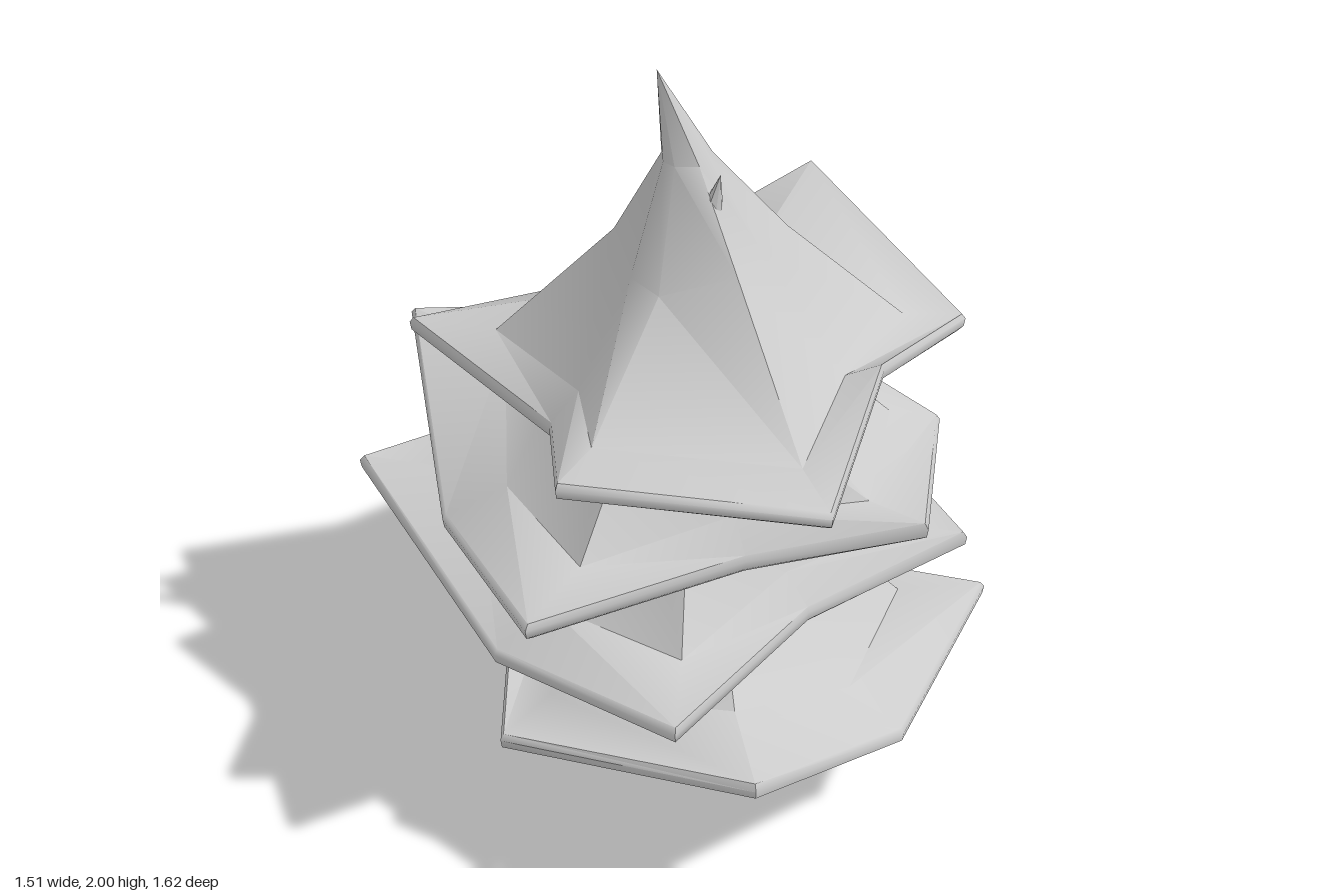
import * as THREE from 'three';
import { toCreasedNormals } from 'three/addons/utils/BufferGeometryUtils.js';

const material = new THREE.MeshStandardMaterial({ color: 0xcccccc });

// Eight uneven rim corners of a foliage tier: x, height, z
const RIM = [
  [0.755, 1.29, -0.463], [0.69, 1.15, 0.25], [0.24, 1.255, 0.44], [-0.12, 1.105, 0.685],
  [-0.64, 1.20, 0.315], [-0.41, 1.08, -0.06], [-0.445, 1.11, -0.665], [0.15, 1.04, -0.635],
];
// Relative reach and height of the two upper rings along each corner direction
const KINK = [0.65, 0.76, 0.8, 0.79, 0.76, 0.8, 0.69, 0.74];
const KINK_Y = [1.28, 1.2, 1.22, 1.165, 1.22, 1.17, 1.14, 1.12];
const MID = [0.31, 0.32, 0.36, 0.31, 0.28, 0.44, 0.27, 0.28];
const MID_Y = [1.51, 1.51, 1.51, 1.51, 1.45, 1.45, 1.5, 1.51];

// One drooping tier: closed shell from a flat underside, round the lip, to the bent tip
function tierGeometry() {
  const ring = (fn) => RIM.map(([x, y, z], i) => fn(x, y, z, i));
  const lip = (s, dy) => ring((x, y, z) => [x * s, y + dy, z * s]);
  const inner = (reach, height, s = 1, dy = 0) => ring((x, _, z, i) =>
    [x * reach[i] * s, height[i] + dy, z * reach[i] * s]);
  const neck = (r, y) => ring((x, _, z) => {
    const l = Math.hypot(x, z);
    return [-0.035 + r * x / l, y, 0.01 + r * z / l];
  });
  const point = (x, y, z) => ring(() => [x, y, z]);

  const rings = [
    point(0, 1.13, 0), inner(KINK, KINK_Y, 0.97, -0.045),
    lip(0.97, -0.03), lip(0.995, -0.018), lip(1, 0.005), lip(0.985, 0.02),
    inner(KINK, KINK_Y), inner(MID, MID_Y), neck(0.065, 1.75), point(-0.125, 2, 0.015),
  ];
  const n = RIM.length;
  const index = [];
  for (let r = 0; r < rings.length - 1; r++) {
    for (let i = 0; i < n; i++) {
      const a = r * n + i, b = r * n + (i + 1) % n;
      if (r < rings.length - 2) index.push(a, a + n, b + n);
      if (r > 0) index.push(a, b + n, b);
    }
  }
  const geo = new THREE.BufferGeometry();
  geo.setAttribute('position', new THREE.Float32BufferAttribute(rings.flat(2), 3));
  geo.setIndex(index);
  return toCreasedNormals(geo, 0.8);
}

export function createModel() {
  const tree = new THREE.Group();
  tree.name = 'pineTree';

  // The same tier stacked four times, each turned and shifted a little
  const geometry = tierGeometry();
  const tiers = [
    ['topFoliage', 0, [0, 0, 0]],
    ['upperFoliage', -80.5, [-0.025, -0.25, 0.01]],
    ['lowerFoliage', -106, [-0.02, -0.48, 0.02]],
    ['bottomFoliage', 150, [-0.01, -0.765, 0.03]],
  ];
  for (const [name, turn, position] of tiers) {
    const tier = new THREE.Mesh(geometry, material);
    tier.name = name;
    tier.rotation.y = -THREE.MathUtils.degToRad(turn);
    tier.position.set(...position);
    tree.add(tier);
  }

  // Square tapered trunk
  const trunkGeo = new THREE.CylinderGeometry(0.088 * Math.SQRT2, 0.104 * Math.SQRT2, 0.42, 4, 1)
    .rotateY(Math.PI / 4).toNonIndexed();
  trunkGeo.computeVertexNormals();
  const trunk = new THREE.Mesh(trunkGeo, material);
  trunk.name = 'trunk';
  trunk.position.set(-0.003, 0.21, 0.022);
  tree.add(trunk);

  return tree;
}
